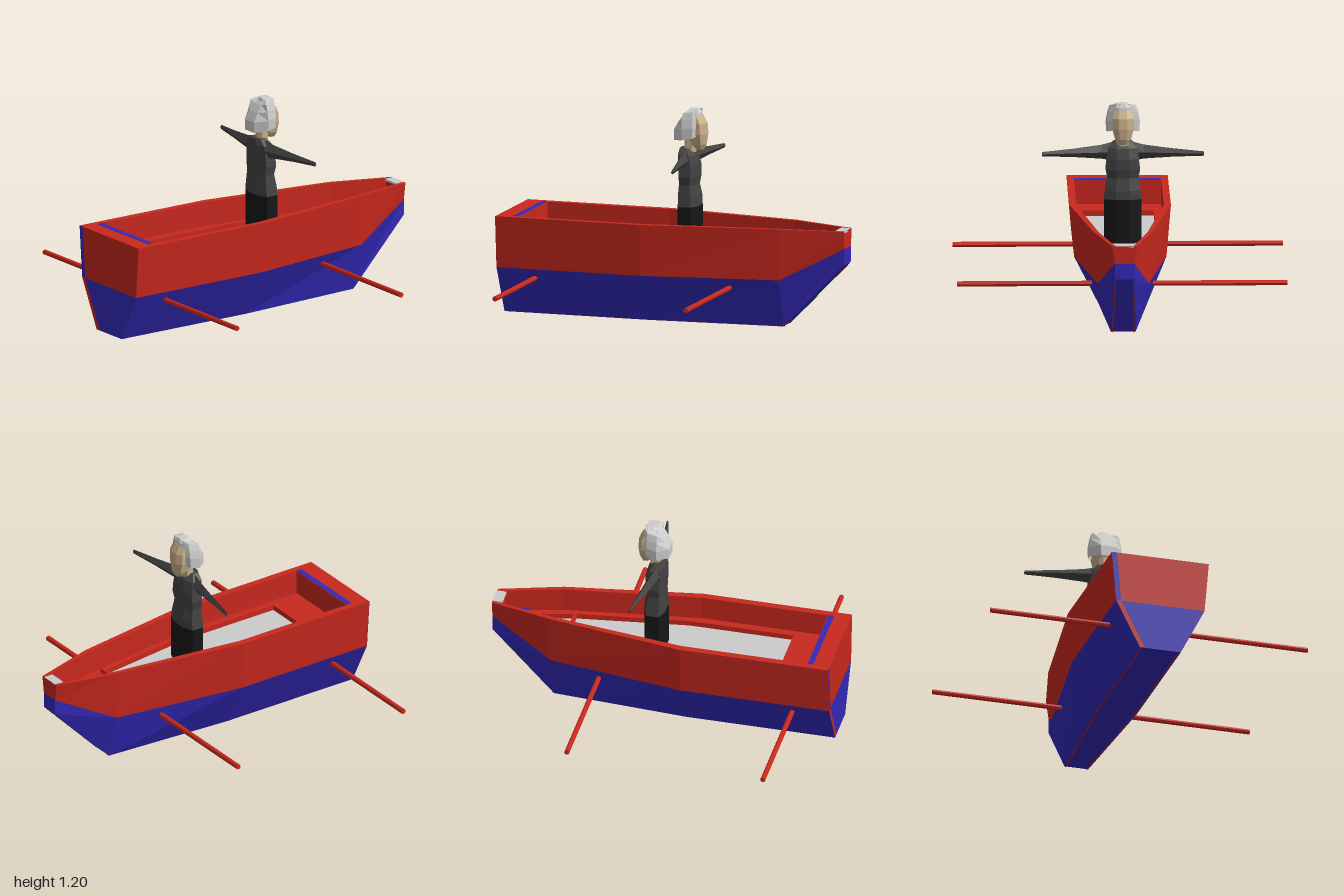
import * as THREE from 'three';

const RED = 0xc8281e, BLUE = 0x3329b8, GREY = 0xcccccc, DARK = 0x424242, BLACK = 0x161616, SKIN = 0xc8b08a;

const mat = (color) => new THREE.MeshStandardMaterial({ color, flatShading: true, side: THREE.DoubleSide });

function add(parent, name, geometry, color) {
  const mesh = new THREE.Mesh(geometry, mat(color));
  mesh.name = name;
  parent.add(mesh);
  return mesh;
}

function box(parent, name, color, [x0, x1], [y0, y1], [z0, z1]) {
  const mesh = add(parent, name, new THREE.BoxGeometry(x1 - x0, y1 - y0, z1 - z0), color);
  mesh.position.set((x0 + x1) / 2, (y0 + y1) / 2, (z0 + z1) / 2);
  return mesh;
}

// Skin through equal-length cross-sections; optionally closed rings with end caps
function loft(sections, closed = false) {
  const pos = [];
  const tri = (...pts) => pts.forEach((p) => pos.push(...p));
  const n = sections[0].length;
  for (let i = 0; i < sections.length - 1; i++) {
    for (let j = 0; j < (closed ? n : n - 1); j++) {
      const k = (j + 1) % n;
      const [a, b, c, d] = [sections[i][j], sections[i][k], sections[i + 1][k], sections[i + 1][j]];
      tri(a, b, c);
      tri(a, c, d);
    }
  }
  if (closed) {
    const first = sections[0], last = sections[sections.length - 1];
    for (let j = 1; j < n - 1; j++) {
      tri(first[0], first[j + 1], first[j]);
      tri(last[0], last[j], last[j + 1]);
    }
  }
  const g = new THREE.BufferGeometry();
  g.setAttribute('position', new THREE.Float32BufferAttribute(pos, 3));
  g.computeVertexNormals();
  return g;
}

const flip = (line) => line.map(([x, y, z]) => [x, y, -z]);

// A surface between two lines, repeated on both sides of the boat
function sides(parent, name, color, a, b) {
  add(parent, name + 'Left', loft([a, b]), color);
  add(parent, name + 'Right', loft([flip(b), flip(a)]), color);
}

// A surface across the boat from a line to its mirror image
const across = (parent, name, color, line) => add(parent, name, loft([line, flip(line)]), color);

function buildHull() {
  const hull = new THREE.Group();
  hull.name = 'hull';
  const bottom = [[-1, 0, 0.12], [-0.14, 0, 0.12], [0.64, 0, 0.07], [1, 0.37, 0.055]];
  const chine = [[-1, 0.275, 0.26], [-0.14, 0.275, 0.26], [0.64, 0.275, 0.145], [1, 0.46, 0.055]];
  const top = [[-1, 0.57, 0.285], [-0.14, 0.57, 0.285], [0.64, 0.57, 0.165], [1, 0.56, 0.07]];
  across(hull, 'bottom', BLUE, bottom);
  sides(hull, 'lowerSide', BLUE, bottom, chine);
  sides(hull, 'upperSide', RED, chine, top);
  across(hull, 'lowerTransom', BLUE, [chine[0], bottom[0]]);
  across(hull, 'upperTransom', RED, [top[0], chine[0]]);
  across(hull, 'lowerBow', BLUE, [bottom[3], chine[3]]);
  across(hull, 'upperBow', RED, [chine[3], top[3]]);

  // Gunwale and inside walls
  const inner = [[-0.87, 0.57, 0.245], [-0.14, 0.57, 0.245], [0.64, 0.57, 0.138], [1, 0.56, 0.05]];
  const outer = [[-0.87, 0.57, 0.285], ...top.slice(1)];
  const foot = inner.map(([x, , z]) => [x, 0.43, z]);
  sides(hull, 'gunwale', RED, outer, inner);
  sides(hull, 'innerWall', RED, inner, foot);
  across(hull, 'sternRim', RED, [top[0], outer[0]]);
  across(hull, 'sternInnerWall', RED, [inner[0], foot[0]]);

  // Ledge around the sunken floor
  const ledge = [[-0.68, 0.43, 0.2], [-0.08, 0.43, 0.2], [0.56, 0.43, 0.115], [0.82, 0.43, 0.055]];
  const floor = ledge.map(([x, , z]) => [x, 0.4, z]);
  sides(hull, 'ledge', RED, [[-0.68, 0.43, 0.245], foot[1], foot[2], [0.82, 0.43, 0.094]], ledge);
  sides(hull, 'floorEdge', RED, ledge, floor);
  across(hull, 'sternBench', RED, [foot[0], [-0.68, 0.43, 0.245]]);
  across(hull, 'benchFront', RED, [ledge[0], floor[0]]);
  across(hull, 'floor', GREY, floor);

  // Bow and stern fittings
  across(hull, 'bowDeck', BLUE, [[0.82, 0.45, 0.094], [0.96, 0.45, 0.06]]);
  box(hull, 'bowBlock', RED, [0.95, 0.995], [0.45, 0.555], [-0.05, 0.05]);
  box(hull, 'bowCap', GREY, [0.945, 1], [0.55, 0.562], [-0.052, 0.052]);
  box(hull, 'crossBar', RED, [0.545, 0.565], [0.43, 0.45], [-0.12, 0.12]);
  box(hull, 'sternStripe', BLUE, [-0.905, -0.873], [0.565, 0.572], [-0.245, 0.245]);
  const strip = (y0, z0, y1, z1) => loft([[[-1.001, y0, z0], [-1.001, y0, z0 + 0.03]], [[-1.001, y1, z1], [-1.001, y1, z1 + 0.03]]]);
  add(hull, 'transomStripe', strip(0.57, -0.285, 0.275, -0.26), BLUE);
  add(hull, 'lowerTransomStripe', strip(0.275, -0.26, 0, -0.12), RED);

  // Thin lines just inside the bottom edges and up the bow
  const line = (w) => [[-1, -0.002, 0.112 - w], [-0.14, -0.002, 0.112 - w], [0.642, -0.002, 0.065 - w], [1.001, 0.368, 0.053 - w]];
  sides(hull, 'keelLine', RED, line(0), line(0.007));
  return hull;
}

function buildOars() {
  const oars = new THREE.Group();
  oars.name = 'oars';
  for (const x of [-0.78, 0.355]) {
    for (const s of [1, -1]) {
      const oar = add(oars, 'oar', new THREE.CylinderGeometry(0.015, 0.015, 0.76, 8), RED);
      oar.rotation.x = Math.PI / 2;
      oar.position.set(x, 0.22, s * 0.55);
    }
  }
  return oars;
}

// Eight-sided horizontal ring from x0 to x1, with half-width w
function ring([y, x0, x1, w]) {
  const c = (x0 + x1) / 2, r = (x1 - x0) / 2;
  return [[1, 0.4], [0.6, 1], [-0.6, 1], [-1, 0.4], [-1, -0.4], [-0.6, -1], [0.6, -1], [1, -0.4]]
    .map(([u, v]) => [c + u * r, y, v * w]);
}
const body = (rows) => loft(rows.map(ring), true);

function buildFigure() {
  const figure = new THREE.Group();
  figure.name = 'figure';
  add(figure, 'skirt', body([[0.4, 0, 0.12, 0.105], [0.65, 0, 0.12, 0.105]]), BLACK);
  add(figure, 'torso', body([
    [0.65, 0, 0.12, 0.105], [0.7, 0, 0.12, 0.098], [0.77, 0.005, 0.105, 0.088], [0.82, 0.003, 0.115, 0.097],
    [0.88, 0, 0.115, 0.09], [0.94, 0, 0.1, 0.085], [0.975, 0.005, 0.07, 0.05]]), DARK);

  // Outstretched arms: [z, x centre, half thickness, low y, high y]
  const arm = [[0.05, 0.045, 0.035, 0.86, 0.972], [0.12, 0.055, 0.028, 0.875, 0.955],
    [0.28, 0.08, 0.018, 0.89, 0.938], [0.455, 0.108, 0.006, 0.9, 0.925]]
    .map(([z, x, h, y0, y1]) => [[x - h, (y0 + y1) / 2, z], [x, y1, z], [x + h, (y0 + y1) / 2, z], [x, y0, z]]);
  add(figure, 'leftArm', loft(arm, true), DARK);
  add(figure, 'rightArm', loft(arm.map(flip), true), DARK);

  // Head with a pointed chin
  add(figure, 'neck', body([[0.94, 0.03, 0.09, 0.035], [1.03, 0.03, 0.1, 0.035]]), SKIN);
  add(figure, 'face', body([
    [0.97, 0.1, 0.14, 0.025], [1.0, 0.07, 0.153, 0.045], [1.06, 0.05, 0.16, 0.06],
    [1.12, 0.05, 0.155, 0.06], [1.165, 0.05, 0.13, 0.05]]), SKIN);

  // Hair wraps the back and sides and closes above the forehead
  const hairRows = [[1.03, -0.022, 0.085, 0.118], [1.09, -0.022, 0.088, 0.12],
    [1.14, 0.005, 0.08, 0.12], [1.18, 0.035, 0.068, 0.118]];
  add(figure, 'hair', loft([...hairRows.map(([y, back, w, front]) => [
    [front, y + 0.02, w * 0.55], [front - 0.02, y + 0.01, w], [0.04, y, w * 1.1], [back, y - 0.01, w * 0.5],
    [back, y - 0.01, -w * 0.5], [0.04, y, -w * 1.1], [front - 0.02, y + 0.01, -w], [front, y + 0.02, -w * 0.55]]),
  ring([1.2, 0.06, 0.115, 0.025]).map((p, i, r) => r[[0, 1, 1, 2, 5, 6, 6, 7][i]])]), GREY);
  add(figure, 'fringe', body([[1.15, 0.05, 0.13, 0.055], [1.18, 0.05, 0.125, 0.058], [1.2, 0.06, 0.115, 0.025]]), GREY);
  figure.position.z = -0.01;
  return figure;
}

export function createModel() {
  const model = new THREE.Group();
  model.name = 'rowingBoat';
  model.add(buildHull(), buildOars(), buildFigure());
  return model;
}
